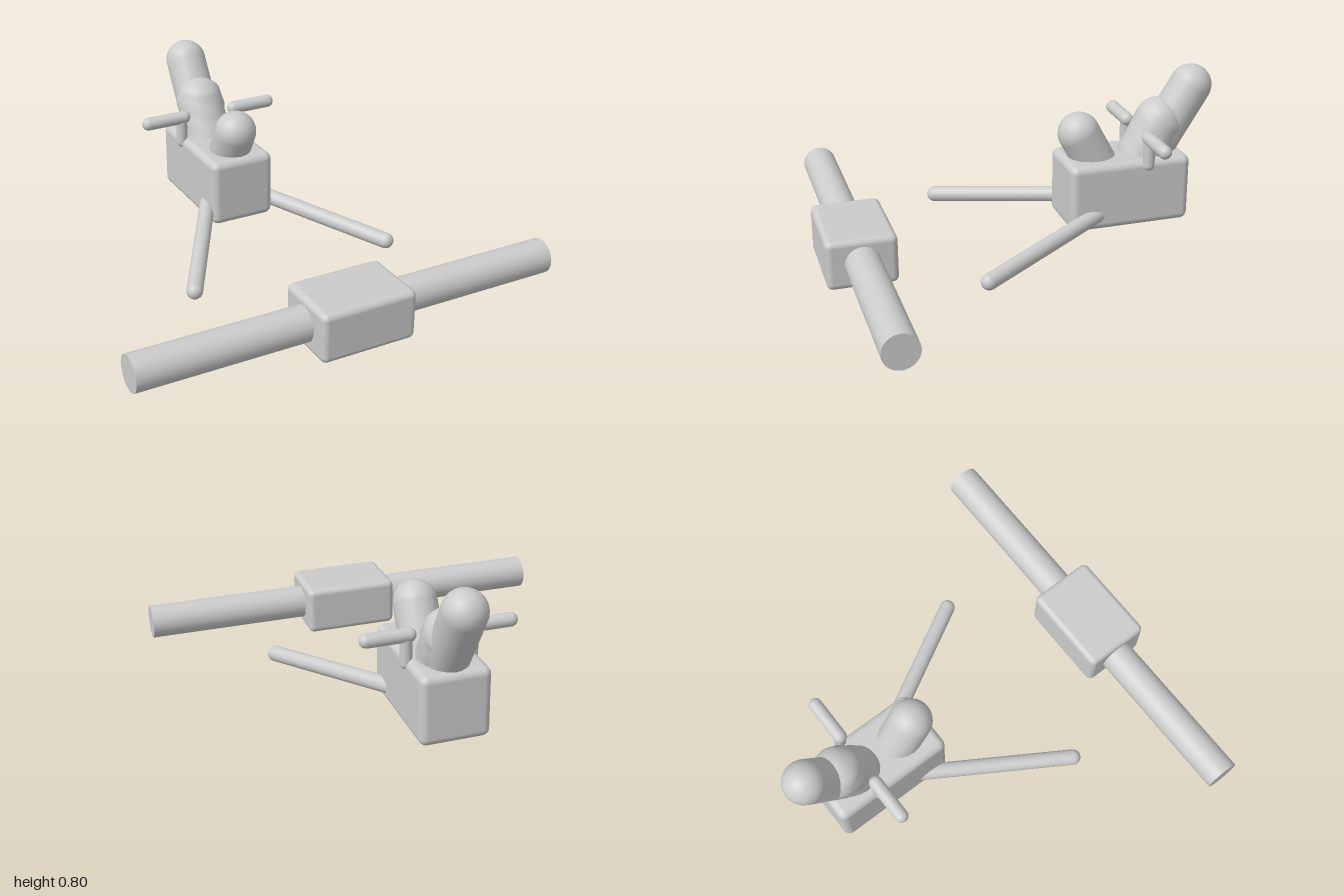
import * as THREE from 'three';
import { RoundedBoxGeometry } from 'three/addons/geometries/RoundedBoxGeometry.js';

const material = new THREE.MeshStandardMaterial({ color: 0xcccccc });
const UP = new THREE.Vector3(0, 1, 0);

export function createModel() {
  const model = new THREE.Group();

  const add = (name, geometry, x, y, z) => {
    const mesh = new THREE.Mesh(geometry, material);
    mesh.name = name;
    mesh.position.set(x, y, z);
    model.add(mesh);
    return mesh;
  };

  // Capsule whose end-sphere centres are the points a and b
  const addCapsule = (name, a, b, radius) => {
    const start = new THREE.Vector3(...a);
    const axis = new THREE.Vector3(...b).sub(start);
    const mid = start.clone().addScaledVector(axis, 0.5);
    const geometry = new THREE.CapsuleGeometry(radius, axis.length(), 8, 24, 6);
    const mesh = add(name, geometry, mid.x, mid.y, mid.z);
    mesh.quaternion.setFromUnitVectors(UP, axis.normalize());
    return mesh;
  };

  // Front roller and its housing
  add('rollerHousing', new RoundedBoxGeometry(0.45, 0.23, 0.32, 4, 0.028), 0, 0.115, 0.78);
  const roller = add('roller', new THREE.CylinderGeometry(0.08, 0.08, 2, 40), 0, 0.118, 0.78);
  roller.rotation.z = Math.PI / 2;

  // Rear body block
  add('body', new RoundedBoxGeometry(0.315, 0.322, 0.585, 4, 0.035), 0, 0.248, -0.497);

  // Leaning front pad and tall back pad
  addCapsule('frontPad', [0, 0.3, -0.41], [0, 0.522, -0.288], 0.099);
  addCapsule('backPad', [0, 0.4, -0.65], [0, 0.704, -0.84], 0.098);

  // Padded collar at the foot of the back pad, slightly lumpy
  const collar = addCapsule('backCollar', [0, 0.36, -0.593], [0, 0.541, -0.685], 0.115);
  const points = collar.geometry.attributes.position;
  const p = new THREE.Vector3();
  for (let i = 0; i < points.count; i++) {
    p.fromBufferAttribute(points, i);
    const lump = 1 + 0.03 * Math.sin(p.y * 70) * Math.cos(3 * Math.atan2(p.x, p.z));
    points.setXYZ(i, p.x * lump, p.y, p.z * lump);
  }
  collar.geometry.computeVertexNormals();

  // Mirrored splayed legs, handle posts and handle grips
  for (const [side, s] of [['left', 1], ['right', -1]]) {
    addCapsule(`${side}Leg`, [s * 0.12, 0.157, -0.355], [s * 0.492, 0.086, 0.288], 0.037);
    addCapsule(`${side}HandlePost`, [s * 0.148, 0.385, -0.58], [s * 0.148, 0.51, -0.58], 0.027);
    addCapsule(`${side}HandleGrip`, [s * 0.135, 0.512, -0.58], [s * 0.322, 0.512, -0.58], 0.031);
  }

  return model;
}
